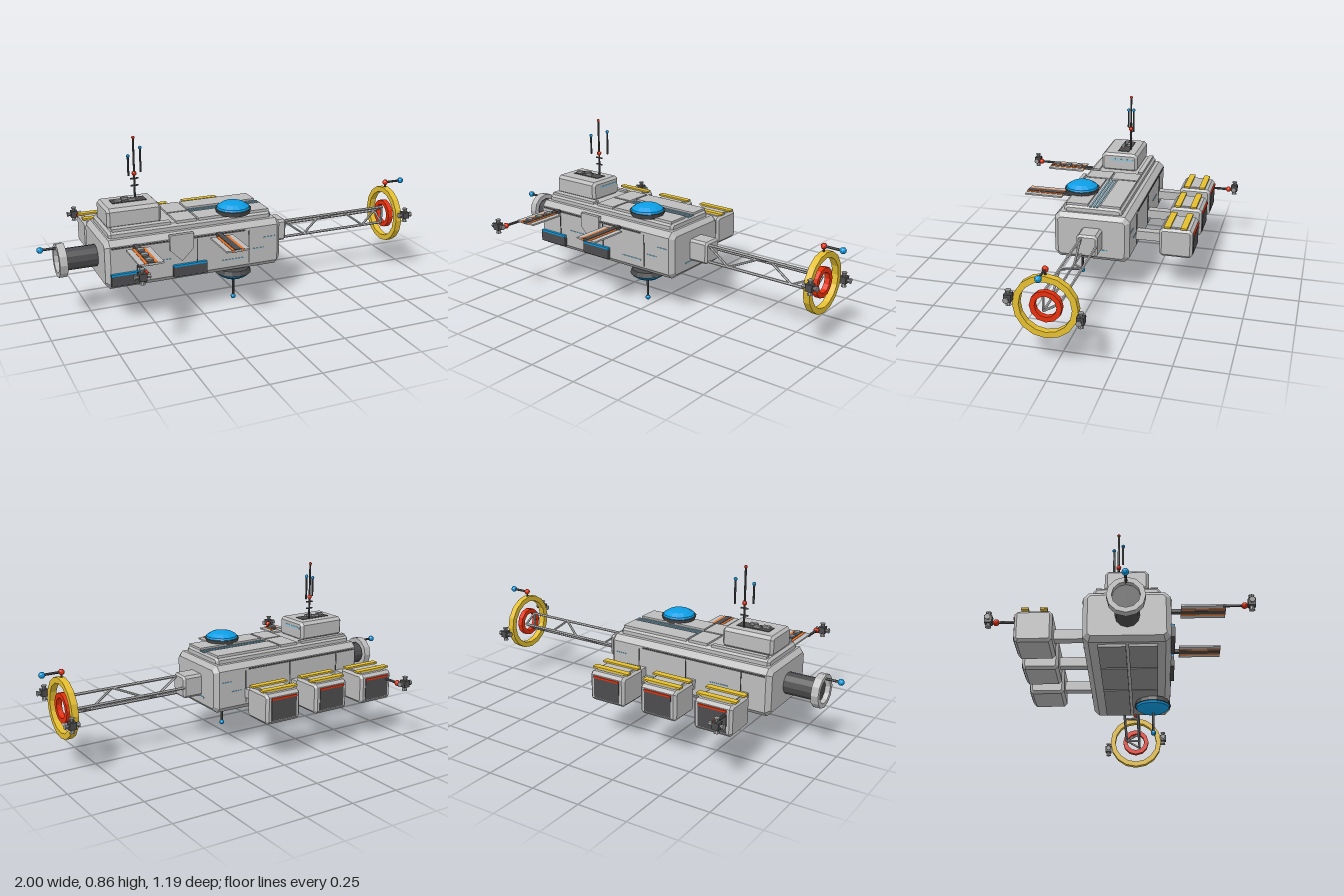
import * as THREE from 'three';

const mat = (name, color) => {
  const m = new THREE.MeshStandardMaterial({ color });
  m.name = name;
  m.flatShading = true;
  return m;
};

export function createModel() {
  const hullGrey = mat('hullGrey', 0xbcbcbc), midGrey = mat('midGrey', 0x949494);
  const dark = mat('darkGrey', 0x4c4c4e), blue = mat('blue', 0x0c9ee6);
  const red = mat('red', 0xe8300c), yellow = mat('yellow', 0xe4be30);
  const orange = mat('orange', 0xe8742a), paleBlue = mat('paleBlue', 0x8cc4dc);
  const model = new THREE.Group();
  const CY = 0.3, CZ = 0.03; // long axis of the station

  const add = (name, geo, material, parent = model) => {
    const m = new THREE.Mesh(geo, material);
    m.name = name;
    parent.add(m);
    return m;
  };
  // box given by its min and max on each axis
  const box = (name, x0, x1, y0, y1, z0, z1, material) => {
    const m = add(name, new THREE.BoxGeometry(x1 - x0, y1 - y0, z1 - z0), material);
    m.position.set((x0 + x1) / 2, (y0 + y1) / 2, (z0 + z1) / 2);
    return m;
  };
  // box with every edge chamfered, extruded along x
  const chamferBox = (name, x0, x1, y0, y1, z0, z1, c, material) => {
    const w = (z1 - z0) / 2 - c, h = (y1 - y0) / 2 - c, k = c * 0.6;
    const pts = [[w - k, -h], [w, -h + k], [w, h - k], [w - k, h], [-w + k, h], [-w, h - k], [-w, -h + k], [-w + k, -h]];
    const shape = new THREE.Shape(pts.map(p => new THREE.Vector2(...p)));
    const geo = new THREE.ExtrudeGeometry(shape, {
      depth: x1 - x0 - 2 * c, bevelEnabled: true, bevelSize: c, bevelThickness: c, bevelSegments: 1,
    });
    geo.translate(0, 0, -(x1 - x0 - 2 * c) / 2).rotateY(Math.PI / 2);
    const m = add(name, geo, material);
    m.position.set((x0 + x1) / 2, (y0 + y1) / 2, (z0 + z1) / 2);
    return m;
  };
  const rod = (name, a, b, r, material, sides = 6) => {
    const va = new THREE.Vector3(...a), d = new THREE.Vector3(...b).sub(va);
    const m = add(name, new THREE.CylinderGeometry(r, r, d.length(), sides), material);
    m.position.copy(va).addScaledVector(d, 0.5);
    m.quaternion.setFromUnitVectors(new THREE.Vector3(0, 1, 0), d.normalize());
    return m;
  };
  const ball = (name, p, r, material) =>
    add(name, new THREE.IcosahedronGeometry(r, 1), material).position.set(...p);
  // flat polygonal ring around the long axis
  const ring = (name, x0, x1, outer, inner, sides, material) => {
    const poly = r => Array.from({ length: sides }, (_, i) => {
      const a = (i / sides) * Math.PI * 2;
      return new THREE.Vector2(Math.cos(a) * r, Math.sin(a) * r);
    });
    const shape = new THREE.Shape(poly(outer));
    shape.holes.push(new THREE.Path(poly(inner)));
    const geo = new THREE.ExtrudeGeometry(shape, { depth: x1 - x0, bevelEnabled: false });
    add(name, geo.rotateY(Math.PI / 2), material).position.set(x0, CY, CZ);
  };
  // thruster block with four flared nozzles
  const thruster = (x, y, z) => {
    const g = new THREE.Group();
    g.name = 'thruster';
    add('thrusterBlock', new THREE.BoxGeometry(0.034, 0.034, 0.034), dark, g);
    for (let i = 0; i < 4; i++) {
      const geo = new THREE.CylinderGeometry(0.014, 0.006, 0.022, 8).translate(0, 0.025, 0);
      add('nozzle', geo, midGrey, g).rotation.z = i * Math.PI / 2;
    }
    g.position.set(x, y, z);
    model.add(g);
  };

  // main hull, roof slab and belly plates
  chamferBox('hull', -0.72, 0.175, 0.185, 0.425, -0.165, 0.22, 0.022, hullGrey);
  chamferBox('roofSlab', -0.69, 0.14, 0.41, 0.457, -0.12, 0.175, 0.012, hullGrey);
  for (const [x0, x1] of [[-0.68, -0.46], [-0.45, -0.21], [-0.2, 0.12]])
    for (const [z0, z1] of [[-0.1, 0.022], [0.034, 0.16]])
      box('bellyPlate', x0, x1, 0.172, 0.19, z0, z1, midGrey);

  // roof panels with light strips
  for (const [x0, x1, z0, z1] of [[-0.67, -0.38, -0.11, -0.085], [-0.67, -0.38, 0.13, 0.165],
    [-0.355, -0.25, -0.11, 0.03], [-0.355, -0.25, 0.04, 0.165], [-0.24, 0.13, -0.11, -0.01], [-0.24, 0.13, 0.055, 0.165]])
    box('roofPanel', x0, x1, 0.45, 0.466, z0, z1, hullGrey);
  for (const z of [0.005, 0.022, 0.039])
    box('roofStripe', -0.24, 0.14, 0.455, 0.46, z - 0.004, z + 0.004, paleBlue);

  // side seams and light strips on both flanks
  for (const [z, s] of [[0.22, 1], [-0.165, -1]]) {
    const strip = (name, x0, x1, y0, y1, m) => {
      box(name, x0, x1, y0, y1, z - 0.002, z + 0.002, m).position.z = z + s * 0.001;
    };
    strip('seam', -0.69, -0.02, 0.387, 0.395, dark);
    for (const x of [-0.57, -0.27, 0]) strip('seam', x - 0.002, x + 0.002, 0.22, 0.385, dark);
    for (const [x, y, l] of [[0.02, 0.288, 0.06], [-0.14, 0.25, 0.12], [-0.5, 0.3, 0.1], [0.08, 0.34, 0.06]])
      strip('lightStrip', x, x + l, y - 0.002, y + 0.002, paleBlue);
  }
  box('endLightStrip', 0.174, 0.178, 0.241, 0.247, -0.055, 0.11, paleBlue);

  // pointed plate and blue-topped vents on the front flank
  const badge = new THREE.Shape([[-0.41, 0.42], [-0.41, 0.345], [-0.35, 0.285], [-0.29, 0.345], [-0.29, 0.42]]
    .map(p => new THREE.Vector2(...p)));
  add('pointedPlate', new THREE.ExtrudeGeometry(badge, { depth: 0.019, bevelEnabled: false }), hullGrey).position.z = 0.212;
  for (const x of [-0.7, -0.395]) {
    box('ventBody', x, x + 0.17, 0.208, 0.259, 0.21, 0.235, dark);
    box('ventTop', x, x + 0.17, 0.259, 0.268, 0.21, 0.235, blue);
  }

  // cabin with roof gear and light strip
  chamferBox('cabin', -0.68, -0.413, 0.45, 0.55, -0.072, 0.125, 0.013, hullGrey);
  box('cabinRecess', -0.63, -0.46, 0.548, 0.553, -0.015, 0.045, dark);
  for (const [x, z] of [[-0.6, 0.025], [-0.56, 0.005], [-0.53, 0.03]])
    box('roofGear', x - 0.018, x + 0.018, 0.552, 0.564, z - 0.009, z + 0.009, midGrey);
  box('cabinStripe', -0.414, -0.411, 0.511, 0.521, -0.05, 0.075, paleBlue);

  // masts
  rod('mast', [-0.5, 0.55, -0.017], [-0.5, 0.85, -0.017], 0.005, dark);
  ball('mastTip', [-0.5, 0.847, -0.017], 0.008, red);
  ball('mastLamp', [-0.5, 0.67, -0.017], 0.012, red);
  for (const y of [0.61, 0.645]) rod('mastBar', [-0.52, y, -0.017], [-0.48, y, -0.017], 0.004, dark);
  for (const [x, y, z] of [[-0.535, 0.765, 0.005], [-0.46, 0.788, -0.04]]) {
    rod('sideMast', [x, 0.667, z], [x, y, z], 0.005, dark);
    ball('sideMastTip', [x, y, z], 0.009, blue);
  }

  // domes above and below
  for (const [y, s, lift] of [[0.46, 1, 0.057], [0.175, -1, 0.06]]) {
    const g = new THREE.Group();
    g.name = s > 0 ? 'upperDome' : 'lowerDome';
    add('domeBase', new THREE.CylinderGeometry(0.09, 0.082, 0.024, 14).translate(0, 0.012, 0), dark, g);
    const pts = [[0.084, 0.02], [0.08, 0.034], [0.055, 0.05], [0.025, lift - 0.002], [0, lift]];
    add('dome', new THREE.LatheGeometry(pts.map(p => new THREE.Vector2(...p)), 14), blue, g);
    if (s < 0) g.rotation.x = Math.PI;
    g.position.set(-0.047, y, 0.133);
    model.add(g);
  }
  rod('lowerSpike', [-0.047, 0.12, 0.135], [-0.047, 0.015, 0.135], 0.006, dark);
  ball('lowerSpikeTip', [-0.047, 0.013, 0.135], 0.013, blue);

  // neck and three-sided truss with one brace winding round it
  chamferBox('neck', 0.165, 0.275, 0.247, 0.36, -0.03, 0.075, 0.01, hullGrey);
  const corners = [[0.345, 0.052], [0.258, 0.052], [0.302, -0.022]];
  const bays = 5, X0 = 0.27, X1 = 0.86;
  corners.forEach(([y, z], i) => {
    rod('trussRail', [X0, y, z], [X1, y, z], 0.007, hullGrey);
    rod('trussEnd', [X1, y, z], [X1, ...corners[(i + 1) % 3]], 0.006, hullGrey);
  });
  for (let b = 0; b < bays; b++) {
    const at = n => [X0 + (X1 - X0) * n / bays, ...corners[n % 3]];
    rod('trussBrace', at(b), at(b + 1), 0.006, hullGrey);
  }

  // docking rings, their thrusters and antenna
  ring('outerRing', 0.873, 0.905, 0.148, 0.12, 16, yellow);
  ring('innerRing', 0.873, 0.9, 0.074, 0.05, 12, red);
  thruster(0.915, 0.335, 0.19);
  thruster(0.915, 0.268, -0.132);
  ball('ringLamp', [0.887, 0.474, CZ], 0.015, red);
  rod('ringLampStem', [0.887, 0.44, CZ], [0.887, 0.474, CZ], 0.005, dark);
  rod('ringAntenna', [0.887, 0.474, CZ], [0.98, 0.474, CZ], 0.006, dark);
  ball('ringAntennaTip', [0.982, 0.474, CZ], 0.016, blue);

  // engine at the other end
  rod('engine', [-0.88, CY, CZ], [-0.71, CY, CZ], 0.054, dark, 12);
  rod('engineRecess', [-0.885, CY, CZ], [-0.875, CY, CZ], 0.064, dark, 12);
  ring('engineRing', -0.91, -0.872, 0.083, 0.06, 12, hullGrey);
  rod('engineAntenna', [-0.9, 0.363, CZ], [-0.98, 0.363, CZ], 0.006, dark);
  ball('engineAntennaTip', [-0.984, 0.363, CZ], 0.016, blue);

  // cargo pods along the back
  for (const x of [-0.59, -0.303, -0.017]) {
    box('podArm', x - 0.022, x + 0.022, 0.247, 0.293, -0.31, -0.16, hullGrey);
    chamferBox('pod', x - 0.097, x + 0.097, 0.203, 0.352, -0.465, -0.298, 0.012, hullGrey);
    box('podCap', x - 0.075, x + 0.075, 0.34, 0.358, -0.435, -0.325, hullGrey);
    box('podPanel', x - 0.072, x + 0.072, 0.222, 0.323, -0.468, -0.462, dark);
    box('podStripe', x - 0.072, x + 0.072, 0.324, 0.333, -0.472, -0.462, red);
    for (const z of [-0.42, -0.337])
      box('podRail', x - 0.1, x + 0.1, 0.357, 0.366, z - 0.016, z + 0.016, yellow);
  }
  rod('podBoom', [-0.655, 0.31, -0.45], [-0.655, 0.31, -0.55], 0.007, dark);
  ball('podBoomLamp', [-0.655, 0.31, -0.548], 0.015, red);
  thruster(-0.677, 0.312, -0.578);

  // striped wings along the front
  for (const x of [-0.577, -0.161]) {
    box('wingArm', x - 0.012, x + 0.012, 0.385, 0.4, 0.2, 0.27, dark);
    box('wing', x - 0.058, x + 0.058, 0.388, 0.396, 0.265, 0.465, hullGrey);
    box('wingSpine', x - 0.016, x + 0.016, 0.386, 0.4, 0.265, 0.465, dark);
    for (const s of [-1, 1])
      box('wingStripe', x + s * 0.024 - 0.007, x + s * 0.024 + 0.007, 0.3865, 0.398, 0.265, 0.465, orange);
  }
  for (const z of [0.3, 0.365, 0.43]) box('wingGear', -0.592, -0.562, 0.398, 0.407, z - 0.014, z + 0.014, midGrey);
  rod('wingBoom', [-0.632, 0.388, 0.45], [-0.632, 0.388, 0.545], 0.007, dark);
  ball('wingBoomLamp', [-0.632, 0.388, 0.545], 0.015, red);
  thruster(-0.656, 0.388, 0.574);

  return model;
}
